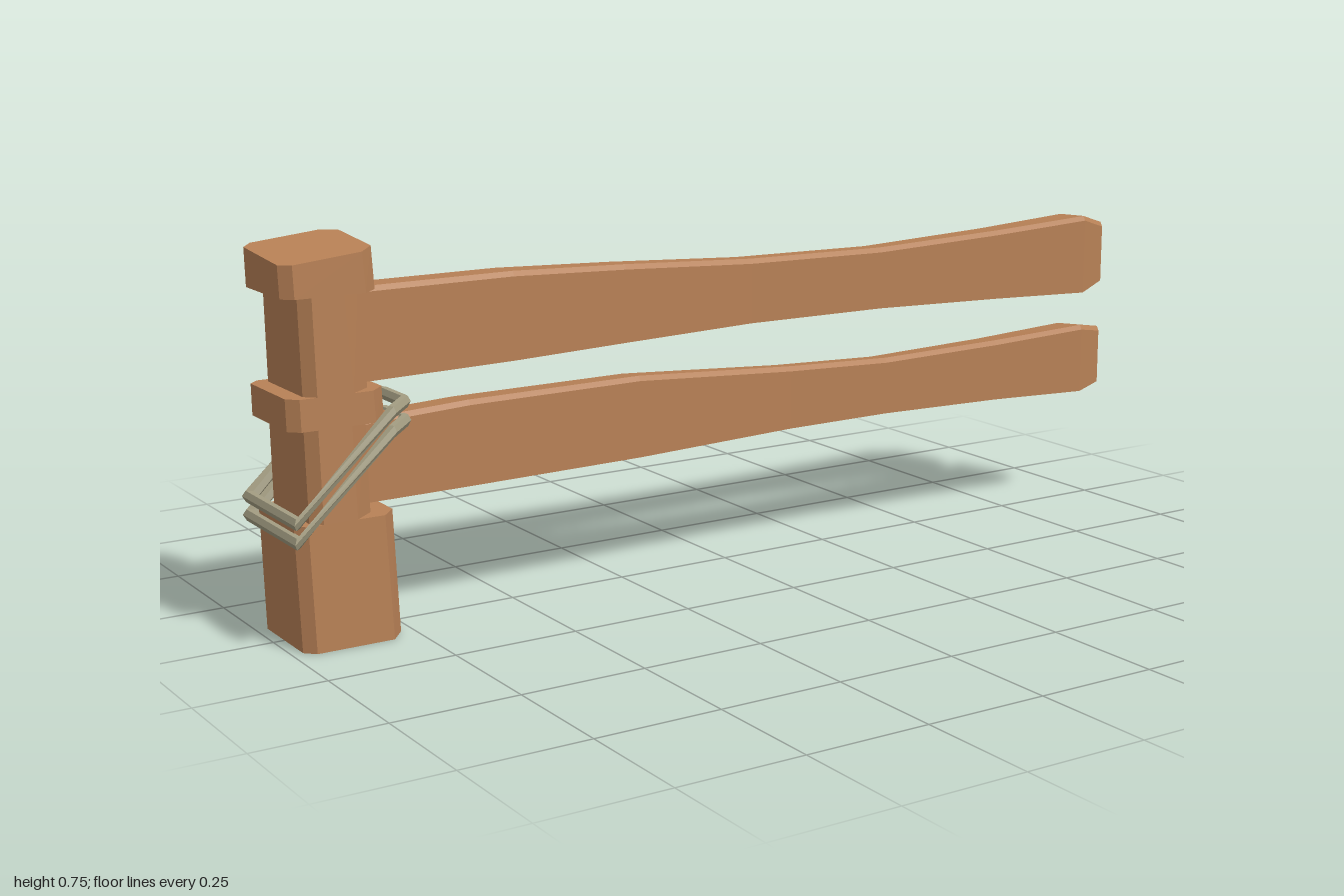
import * as THREE from 'three';

const wood = new THREE.MeshStandardMaterial({ color: 0xb88156 });
wood.name = 'wood';
const rope = new THREE.MeshStandardMaterial({ color: 0xa39d82 });
rope.name = 'rope';

// Skins a row of equal-length rings (counterclockwise about the direction of travel) with flat faces.
function loft(name, rings, material, closed = false) {
  const pos = [];
  const tri = (a, b, c) => pos.push(...a, ...b, ...c);
  const n = rings[0].length;
  const last = closed ? rings.length : rings.length - 1;
  for (let i = 0; i < last; i++) {
    const p = rings[i], q = rings[(i + 1) % rings.length];
    for (let j = 0; j < n; j++) {
      const k = (j + 1) % n;
      tri(p[j], p[k], q[k]);
      tri(p[j], q[k], q[j]);
    }
  }
  if (!closed) {
    const s = rings[0], e = rings[rings.length - 1];
    for (let j = 1; j < n - 1; j++) {
      tri(s[0], s[j + 1], s[j]);
      tri(e[0], e[j], e[j + 1]);
    }
  }
  const geo = new THREE.BufferGeometry();
  geo.setAttribute('position', new THREE.Float32BufferAttribute(pos, 3));
  geo.computeVertexNormals();
  const mesh = new THREE.Mesh(geo, material);
  mesh.name = name;
  return mesh;
}

// Post: chamfered section, notched on both x sides where the rails meet it
function makePost() {
  const ring = ([y, x0, x1, cut]) => {
    const zf = 0.107 - 0.012 * y, zb = -0.102 + 0.007 * y;
    const loop = [
      [x1 - cut, zf], [x1, 0.07], [x1, -0.07], [x1 - cut, zb],
      [x0 + 0.02, zb], [x0, zb + 0.02], [x0, zf - 0.02], [x0 + 0.02, zf],
    ];
    // The top is cut at a slant
    return loop.map(([x, z]) => [x, y > 0.7 ? y + 0.1 * (x + 0.9) - 0.08 * z : y, z]);
  };
  return loft('post', [
    [0, -0.978, -0.774, 0.03], [0.24, -0.985, -0.784, 0.03],
    [0.24, -0.955, -0.828, 0.04], [0.415, -0.958, -0.832, 0.04],
    [0.415, -0.99, -0.795, 0.03], [0.475, -0.991, -0.798, 0.03],
    [0.475, -0.957, -0.826, 0.04], [0.655, -0.96, -0.838, 0.04],
    [0.655, -0.992, -0.805, 0.03], [0.732, -0.994, -0.81, 0.03],
  ].map(ring), wood);
}

// Rail: stations of [x, bottom, top, back, front] with slightly skewed top and bottom
function makeRail(name, stations, skewTop, skewBottom) {
  return loft(name, stations.map(([x, b, t, zb, zf]) => [
    [x, b + skewBottom, zb], [x, t - skewTop, zb], [x, t, zf - 0.006],
    [x, t - 0.01, zf], [x, b, zf],
  ]), wood);
}

// Rope loop: a hexagonal strand around the post, sloping down to the far side
function makeRopeLoop(name, drop) {
  const path = [
    [-0.741, 0.434, 0.045], [-0.8, 0.434, 0.114], [-0.989, 0.252, 0.114],
    [-0.989, 0.252, -0.114], [-0.8, 0.434, -0.114], [-0.741, 0.434, -0.045],
  ];
  const r = 0.011;
  const outward = (a, b) => { // horizontal normal of a segment
    const dx = b[0] - a[0], dz = b[2] - a[2], l = Math.hypot(dx, dz);
    return [-dz / l, dx / l];
  };
  const rings = path.map((p, i) => {
    const a = path[(i + path.length - 1) % path.length], b = path[(i + 1) % path.length];
    const m = outward(a, p), n = outward(p, b);
    const k = -1 / (1 + m[0] * n[0] + m[1] * n[1]);
    const ox = (m[0] + n[0]) * k, oz = (m[1] + n[1]) * k;
    return Array.from({ length: 6 }, (_, j) => {
      const t = j * Math.PI / 3, c = r * Math.cos(t);
      return [p[0] + ox * c, p[1] - drop + 1.15 * r * Math.sin(t), p[2] + oz * c];
    });
  });
  return loft(name, rings, rope, true);
}

export function createModel() {
  const fence = new THREE.Group();
  fence.name = 'fencePost';
  fence.add(
    makePost(),
    makeRail('upperRail', [
      [-0.87, 0.477, 0.655, -0.045, 0.037], [-0.5, 0.482, 0.655, -0.045, 0.033],
      [-0.25, 0.489, 0.645, -0.042, 0.029], [0.05, 0.496, 0.629, -0.038, 0.023],
      [0.38, 0.494, 0.624, -0.038, 0.022], [0.7, 0.485, 0.636, -0.042, 0.028],
      [0.94, 0.477, 0.65, -0.045, 0.037], [1, 0.498, 0.631, -0.034, 0.028],
    ], 0.004, 0.008),
    makeRail('lowerRail', [
      [-0.87, 0.248, 0.405, -0.042, 0.037], [-0.6, 0.249, 0.417, -0.042, 0.034],
      [-0.22, 0.252, 0.418, -0.041, 0.029], [0.15, 0.262, 0.394, -0.038, 0.023],
      [0.4, 0.263, 0.384, -0.038, 0.022], [0.7, 0.258, 0.391, -0.041, 0.028],
      [0.94, 0.25, 0.402, -0.043, 0.037], [1, 0.264, 0.392, -0.033, 0.028],
    ], 0.007, 0),
    makeRopeLoop('upperRope', 0),
    makeRopeLoop('lowerRope', 0.036),
  );
  return fence;
}
